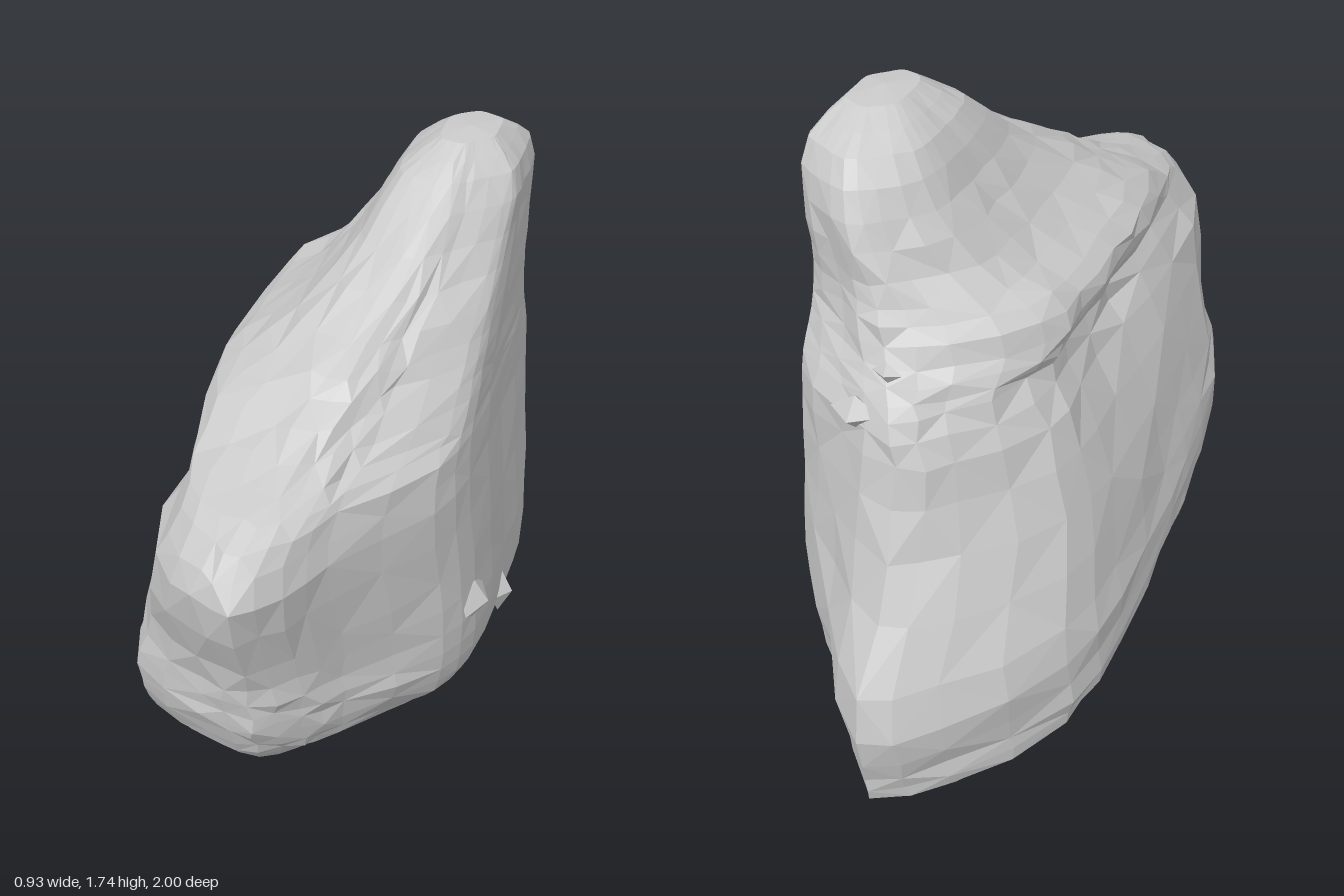
import * as THREE from 'three';

// Unit outline seen from above: front tip, right side, back tip, left side.
// The third value squares off the back right corner in the upper rings.
const OUTLINE = [[0, 1], [0.24, 0.9], [0.42, 0.77], [0.88, 0.48], [1, 0.3], [1, -0.1], [0.98, -0.4, -0.12],
  [0.9, -0.54, -0.19], [0.48, -0.74, -0.15], [0, -1], [-0.4, -0.88], [-0.9, -0.58], [-1, -0.3], [-1, 0.1],
  [-0.98, 0.45], [-0.78, 0.84], [-0.32, 0.97]];

// Rings: height, tilt, left x, tip x, right x, front z, middle z, back z
const RINGS = [
  [0.00, 0.215, -0.40, -0.02, 0.30, 0.77, 0, -0.88],
  [0.06, 0.215, -0.44, 0, 0.37, 0.82, 0, -0.93],
  [0.17, 0.200, -0.46, 0, 0.42, 0.87, 0, -0.95],
  [0.38, 0.120, -0.45, 0, 0.43, 0.88, 0, -1.00],
  [0.70, 0.000, -0.40, 0, 0.42, 0.90, 0, -0.80],
  [0.98, 0.000, -0.32, 0, 0.405, 1.00, 0, -0.72],
  [1.11, 0.000, -0.25, 0.02, 0.40, 0.93, 0, -0.69],
  [1.17, 0.000, -0.28, 0.05, 0.40, 0.75, 0, -0.63],
  [1.26, 0.000, -0.26, 0.09, 0.40, 0.56, 0, -0.58],
  [1.35, 0.000, -0.12, 0.13, 0.40, 0.43, -0.05, -0.54],
  [1.50, 0.000, 0.01, 0.20, 0.40, 0.20, -0.15, -0.52],
  [1.65, 0.000, 0.09, 0.24, 0.395, 0.02, -0.20, -0.45],
  [1.73, 0.000, 0.19, 0.26, 0.33, -0.09, -0.20, -0.31],
];
const COLS = OUTLINE.length * 2, ROWS = 26;

function seeded(seed) {
  return () => {
    seed = (seed * 16807) % 2147483647;
    return seed / 2147483647 - 0.5;
  };
}

// One smooth closed loop of points for a ring
function ringLoop([y, tilt, left, tip, right, front, mid, back]) {
  const upper = THREE.MathUtils.smoothstep(y, 0.4, 0.9);
  const pts = OUTLINE.map(([u, side, square = 0]) => {
    const v = side + square * upper;
    const x = tip + (u > 0 ? u * (right - tip) : -u * (left - tip));
    const z = mid + (v > 0 ? v * (front - mid) : -v * (back - mid));
    return new THREE.Vector3(x, Math.max(0, y + tilt * (z + 0.78)), z);
  });
  const curve = new THREE.CatmullRomCurve3(pts, true);
  return Array.from({ length: COLS }, (_, i) => curve.getPoint(i / COLS));
}

function boulderGeometry() {
  const rand = seeded(71);
  const loops = RINGS.map(ringLoop);
  const columns = Array.from({ length: COLS }, (_, i) =>
    new THREE.CatmullRomCurve3(loops.map((loop) => loop[i])));
  const pos = [], index = [];
  for (let r = 0; r <= ROWS; r++) {
    for (let i = 0; i < COLS; i++) {
      const p = columns[i].getPoint(r / ROWS);
      // hollow under the ledge on the left side
      if (p.x < -0.1) p.x += 0.04 * Math.exp(-(((p.y - 1) / 0.15) ** 2) - ((p.z / 0.28) ** 2));
      // chipped surface, calmer on the flat right face and near the crown
      const rough = p.x > 0.36 || p.y > 1.5 ? 0.005 : 0.018;
      if (r > 0 && r < ROWS) {
        p.x += rand() * rough;
        p.y += rand() * rough;
        p.z += rand() * rough;
      }
      pos.push(p.x, Math.max(0, p.y), p.z);
    }
  }
  const id = (r, i) => r * COLS + (i % COLS);
  for (let r = 0; r < ROWS; r++) {
    for (let i = 0; i < COLS; i++) {
      const a = id(r, i), b = id(r, i + 1), c = id(r + 1, i + 1), d = id(r + 1, i);
      if ((r + i) % 2) index.push(a, b, c, a, c, d);
      else index.push(a, b, d, b, c, d);
    }
  }
  // underside and crown
  const bottom = pos.length / 3, top = bottom + 1;
  pos.push(-0.04, 0.165, 0, 0.26, 1.74, -0.19);
  for (let i = 0; i < COLS; i++) {
    index.push(bottom, id(0, i + 1), id(0, i));
    index.push(top, id(ROWS, i), id(ROWS, i + 1));
  }
  const geo = new THREE.BufferGeometry();
  geo.setAttribute('position', new THREE.Float32BufferAttribute(pos, 3));
  geo.setIndex(index);
  geo.computeVertexNormals();
  return geo;
}

export function createModel() {
  const group = new THREE.Group();
  group.name = 'rock';
  const stone = new THREE.MeshStandardMaterial({ color: 0xcacaca, flatShading: true });
  stone.name = 'grey stone';

  const add = (name, geo) => {
    const mesh = new THREE.Mesh(geo, stone);
    mesh.name = name;
    group.add(mesh);
    return mesh;
  };
  add('boulder', boulderGeometry());

  // Small broken chips: position, size
  const chips = [
    ['sideChip', [0.425, 0.59, 0.28], [0.04, 0.06, 0.09]],
    ['lowerSideChip', [0.425, 0.36, -0.07], [0.04, 0.08, 0.05]],
    ['backChip', [0.13, 1.09, -0.66], [0.07, 0.05, 0.05]],
    ['looseChip', [0.02, 1.26, -0.69], [0.04, 0.03, 0.02]],
  ];
  for (const [name, at, size] of chips) {
    const chip = add(name, new THREE.OctahedronGeometry(1));
    chip.position.set(...at);
    chip.scale.set(...size);
  }
  return group;
}
